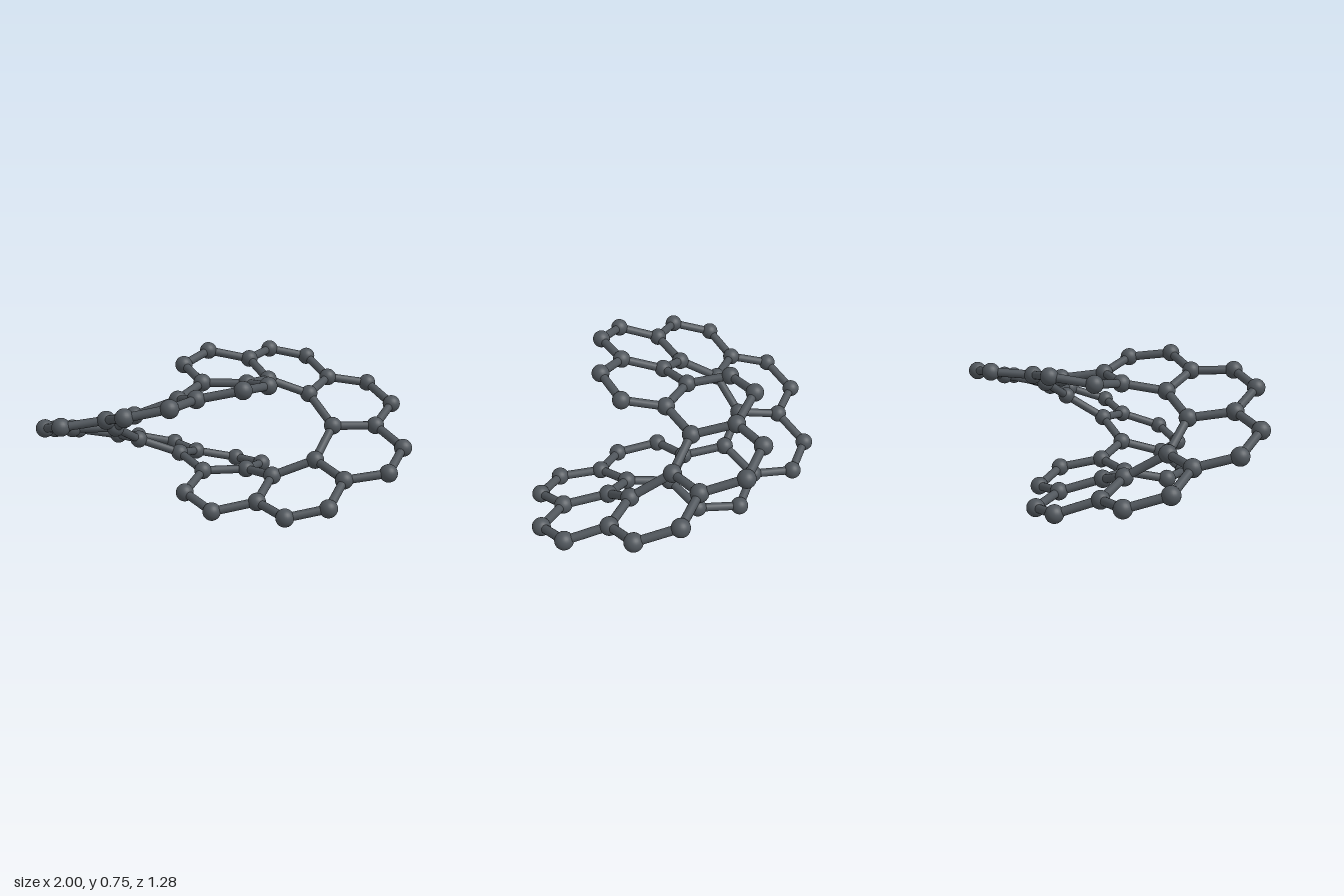
import * as THREE from 'three';

const MID_Y = 0.375;
const BALL_RADIUS = 0.048;
const ROD_RADIUS = 0.023;
const MAX_ROD = 0.3;

// One quarter of the twisted ring of hexagons, y measured from the middle
const quarter = [
  [0.95, 0.065, -0.19], [0.84, 0.135, -0.385], [0.61, 0.17, -0.385], [0.48, 0.13, -0.185],
  [0.505, 0.245, -0.585], [0.285, 0.29, -0.59], [0.155, 0.28, -0.4], [0.25, 0.215, -0.19],
  [-0.08, 0.327, -0.41], [-0.22, 0.295, -0.22], [-0.12, 0.25, -0.01],
];

// Half turns about the x, y and z axes complete the figure of eight
const halfTurns = [[1, 1, 1], [1, -1, -1], [-1, 1, -1], [-1, -1, 1]];

function jointPositions() {
  const points = [];
  for (const [sx, sy, sz] of halfTurns) {
    for (const [x, y, z] of quarter) {
      points.push(new THREE.Vector3(sx * x, MID_Y + sy * y, sz * z));
    }
  }
  // Joints lying on the x axis
  for (const x of [-0.83, -0.595, 0.595, 0.83]) points.push(new THREE.Vector3(x, MID_Y, 0));
  return points;
}

export function createModel() {
  const model = new THREE.Group();
  model.name = 'hexagonRingLattice';
  const material = new THREE.MeshStandardMaterial({ color: 0x50565c });
  const points = jointPositions();

  // Balls at the joints
  const balls = new THREE.Group();
  balls.name = 'balls';
  const ballGeometry = new THREE.SphereGeometry(BALL_RADIUS, 24, 16);
  for (const p of points) {
    const ball = new THREE.Mesh(ballGeometry, material);
    ball.name = 'ball';
    ball.position.copy(p);
    balls.add(ball);
  }

  // Rods between neighbouring joints
  const rods = new THREE.Group();
  rods.name = 'rods';
  const rodGeometry = new THREE.CylinderGeometry(ROD_RADIUS, ROD_RADIUS, 1, 16, 1, true);
  const up = new THREE.Vector3(0, 1, 0);
  points.forEach((a, i) => {
    for (const b of points.slice(i + 1)) {
      const length = a.distanceTo(b);
      if (length > MAX_ROD) continue;
      const rod = new THREE.Mesh(rodGeometry, material);
      rod.name = 'rod';
      rod.position.copy(a).lerp(b, 0.5);
      rod.scale.y = length;
      rod.quaternion.setFromUnitVectors(up, b.clone().sub(a).normalize());
      rods.add(rod);
    }
  });

  model.add(balls, rods);
  return model;
}
